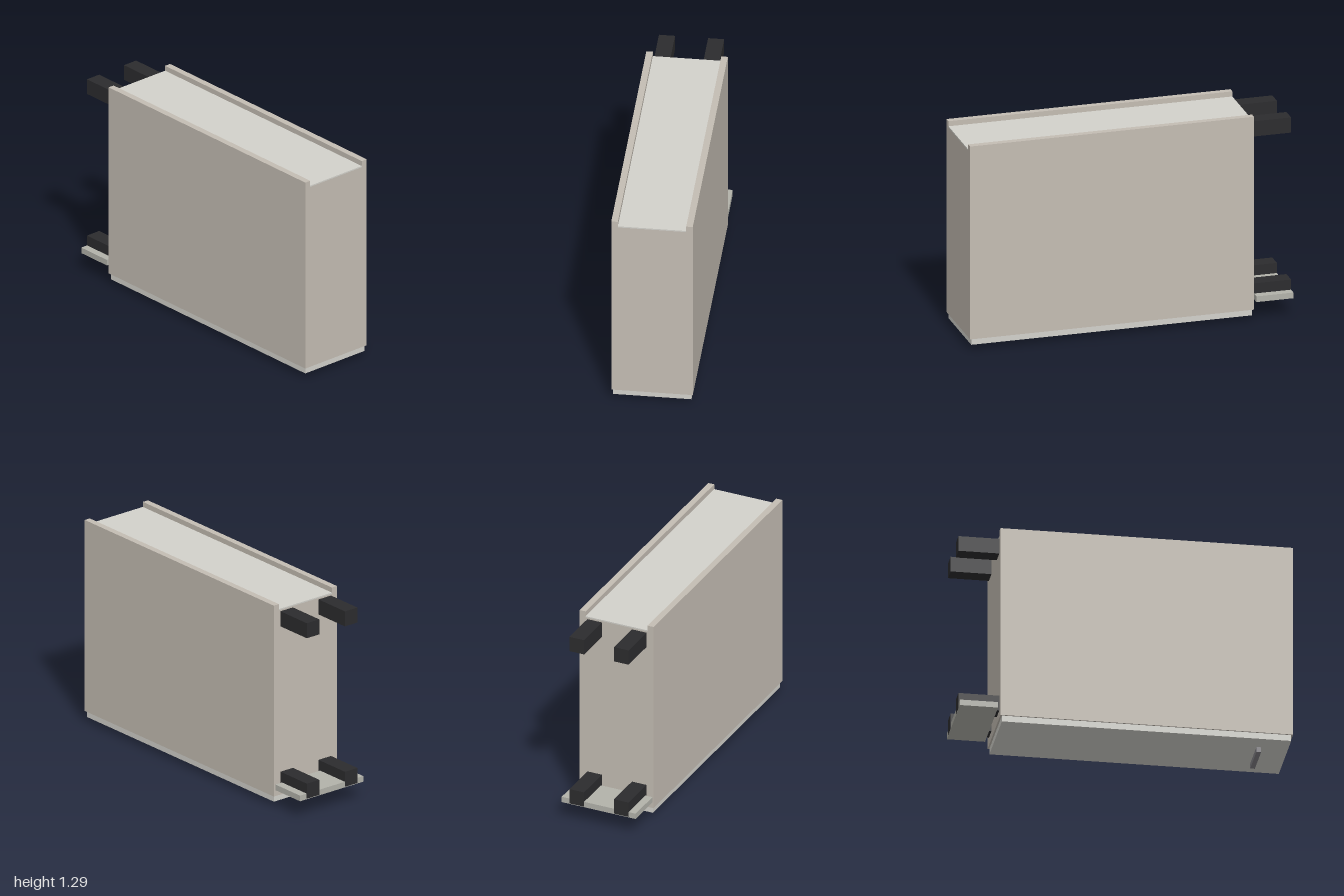
import * as THREE from 'three';

const mat = (color) => new THREE.MeshStandardMaterial({ color });

// Box given by its min and max on each axis
function box(name, material, [x0, x1], [y0, y1], [z0, z1]) {
  const mesh = new THREE.Mesh(new THREE.BoxGeometry(x1 - x0, y1 - y0, z1 - z0), material);
  mesh.position.set((x0 + x1) / 2, (y0 + y1) / 2, (z0 + z1) / 2);
  mesh.name = name;
  return mesh;
}

export function createModel() {
  const group = new THREE.Group();
  group.name = 'cabinet';
  const beige = mat(0xc4bdb3);
  const pale = mat(0xd2d1cb);
  const black = mat(0x2c2c2e);

  // Tall body with a raised rail along each top edge
  const back = -0.755, front = 1, half = 0.243, rail = 0.204;
  const section = new THREE.Shape([
    [-half, 0.07], [half, 0.07], [half, 1.29], [rail, 1.29],
    [rail, 1.25], [-rail, 1.25], [-rail, 1.29], [-half, 1.29],
  ].map(([x, y]) => new THREE.Vector2(x, y)));
  const body = new THREE.Mesh(
    new THREE.ExtrudeGeometry(section, { depth: front - back, bevelEnabled: false }), beige);
  body.position.z = back;
  body.name = 'body';
  group.add(body);

  // Top panel between the rails, and inset base
  group.add(box('topPanel', pale, [-rail, rail], [1.25, 1.258], [back, front]));
  group.add(box('base', pale, [-0.234, 0.234], [0.032, 0.07], [-0.745, 0.99]));
  group.add(box('bottomGrip', mat(0x828186), [-0.118, 0.118], [0, 0.032], [0.8, 0.828]));

  // Rear plate carrying the lower pegs
  group.add(box('rearPlate', mat(0xb2b2aa), [-half, half], [0.116, 0.152], [-0.999, -0.77]));

  // Four square pegs on the back
  for (const y of [0.12, 1.145]) {
    for (const x of [-0.149, 0.144]) {
      group.add(box('rearPeg', black, [x - 0.048, x + 0.048], [y, y + 0.096], [-1, back]));
    }
  }
  return group;
}
